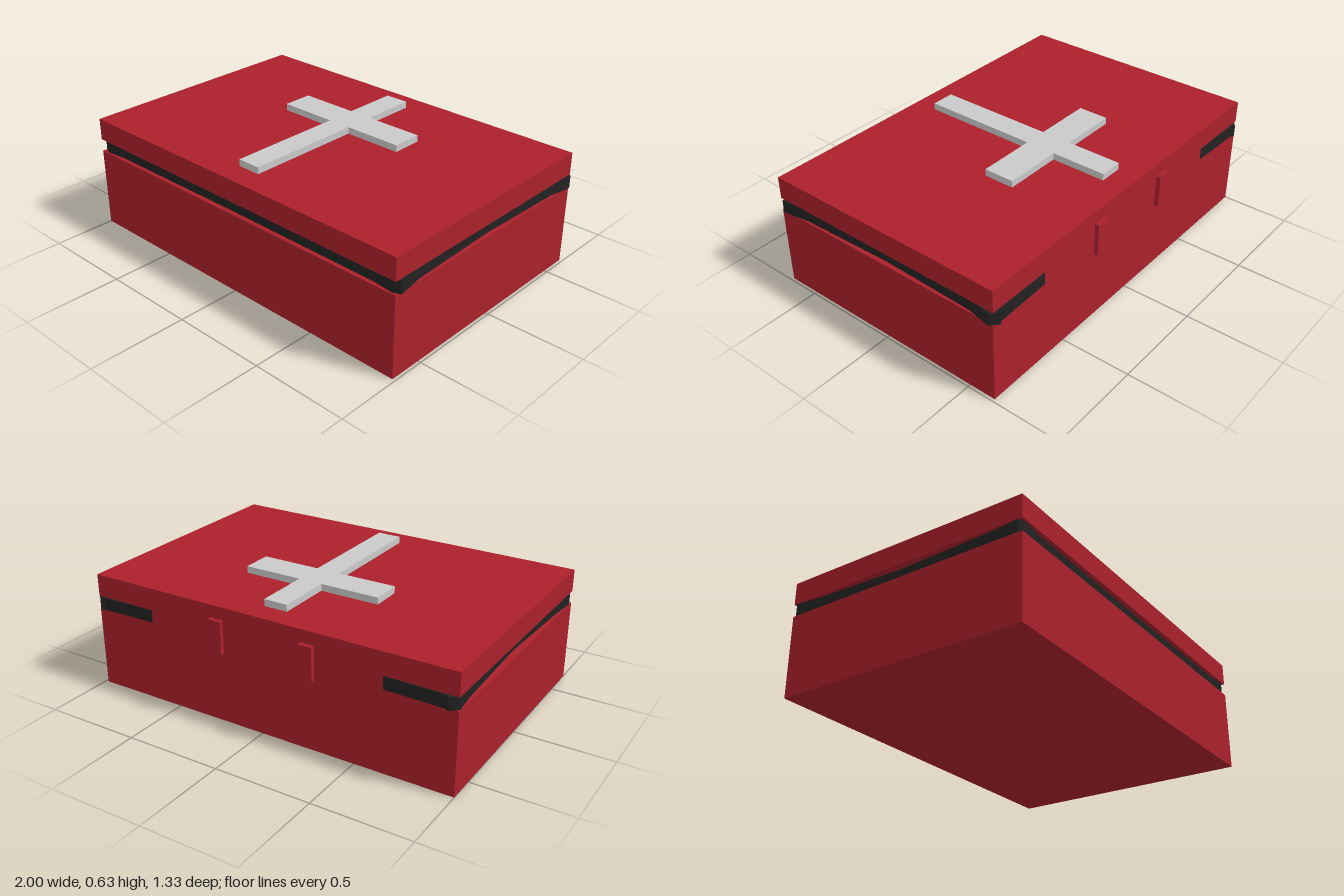
import * as THREE from 'three';

const red = new THREE.MeshStandardMaterial({ color: 0xab212b });
red.name = 'caseRed';
const black = new THREE.MeshStandardMaterial({ color: 0x222222 });
black.name = 'sealBlack';
const pale = new THREE.MeshStandardMaterial({ color: 0xc9c9c9 });
pale.name = 'crossGrey';

export function createModel() {
  const group = new THREE.Group();

  // box given by its minimum and maximum corners
  function block(name, material, [x0, y0, z0], [x1, y1, z1]) {
    const mesh = new THREE.Mesh(new THREE.BoxGeometry(x1 - x0, y1 - y0, z1 - z0), material);
    mesh.position.set((x0 + x1) / 2, (y0 + y1) / 2, (z0 + z1) / 2);
    mesh.name = name;
    group.add(mesh);
  }

  // flat plan outline of [x, z] points, raised from y0 to y1
  function slab(name, material, points, y0, y1) {
    const shape = new THREE.Shape(points.map(([x, z]) => new THREE.Vector2(x, -z)));
    const geometry = new THREE.ExtrudeGeometry(shape, { depth: y1 - y0, bevelEnabled: false });
    geometry.rotateX(-Math.PI / 2);
    const mesh = new THREE.Mesh(geometry, material);
    mesh.position.y = y0;
    mesh.name = name;
    group.add(mesh);
  }

  // case: lower box, lid and the strip of back wall joining them
  block('caseBody', red, [-1, 0, -0.64], [0.985, 0.42, 0.67]);
  block('lid', red, [-1, 0.485, -0.64], [0.985, 0.6, 0.67]);
  block('backSpine', red, [-0.94, 0.42, -0.64], [0.94, 0.485, -0.58]);

  // dark seal in the groove, bowed slightly inwards along each side
  slab('seal', black, [
    [-0.998, 0.645], [-0.96, 0.662], [-0.85, 0.65], [0, 0.645], [0.85, 0.65], [0.96, 0.662],
    [0.998, 0.645], [0.975, 0.5], [0.96, 0], [0.975, -0.5], [0.998, -0.625],
    [0.96, -0.66], [0.94, -0.648], [0.66, -0.641], [0.3, -0.62],
    [-0.3, -0.62], [-0.66, -0.641], [-0.94, -0.648], [-0.96, -0.66],
    [-0.998, -0.625], [-0.985, -0.5], [-0.965, 0], [-0.985, 0.5],
  ], 0.42, 0.485);

  // hinge plates on the back
  for (const x of [-0.2575, 0.245]) {
    block('hinge', red, [x - 0.036, 0.365, -0.662], [x + 0.036, 0.535, -0.63]);
  }

  // raised cross on the lid
  slab('cross', pale, [
    [-0.07, 0.545], [0.055, 0.545], [0.055, -0.07], [0.365, -0.07],
    [0.365, -0.23], [0.055, -0.23], [0.055, -0.52], [-0.07, -0.52],
    [-0.07, -0.23], [-0.38, -0.23], [-0.38, -0.07], [-0.07, -0.07],
  ], 0.6, 0.635);

  return group;
}
